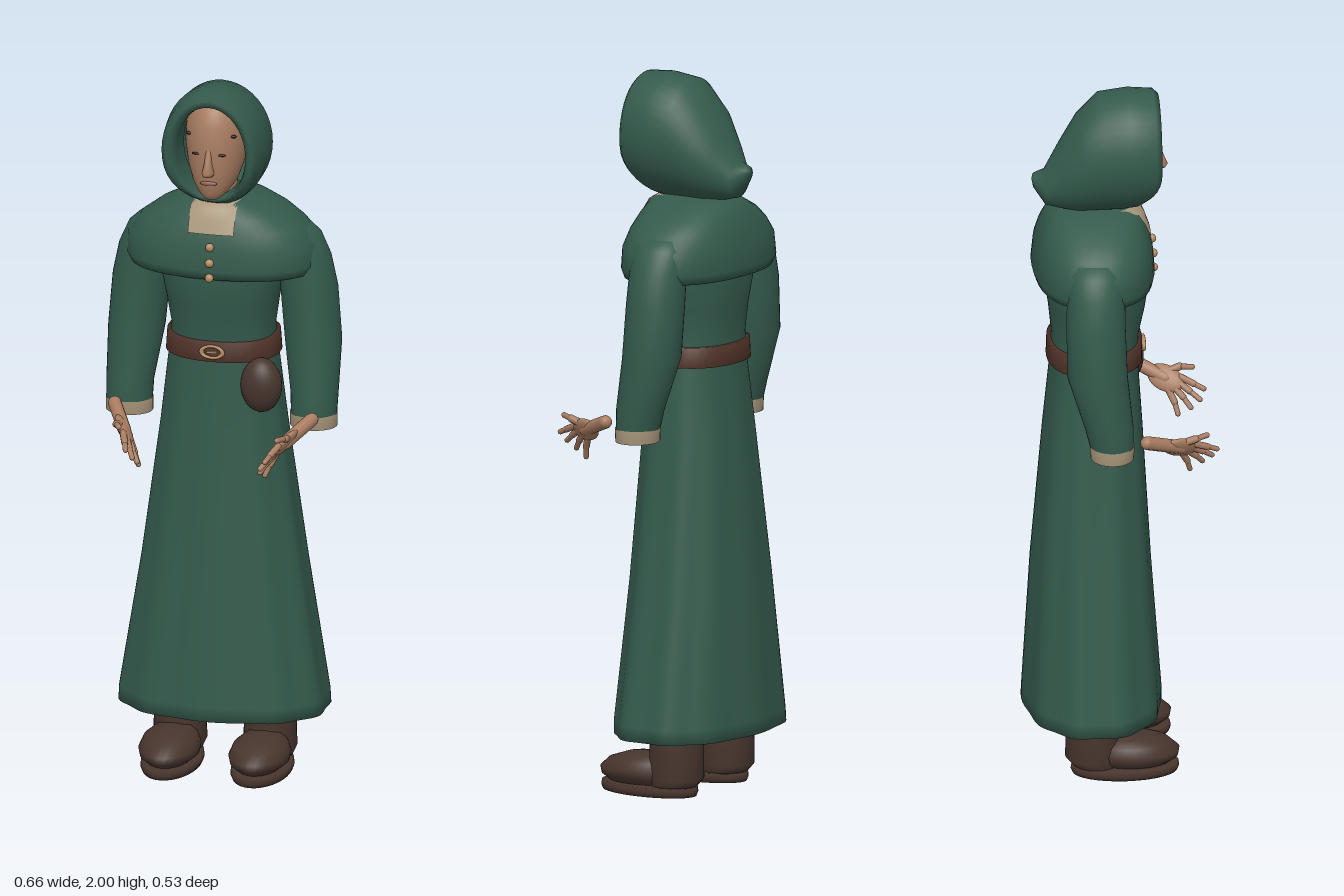
import * as THREE from 'three';

const mat = (name, color, double) => {
  const m = new THREE.MeshStandardMaterial({ color });
  m.name = name;
  if (double) m.side = THREE.DoubleSide;
  return m;
};

// Joins rows of points into a smooth skin; rows are closed loops unless open is set
function skin(rows, open = false) {
  const n = rows[0].length, pos = [], idx = [];
  rows.forEach(r => r.forEach(p => pos.push(...p)));
  for (let i = 0; i < rows.length - 1; i++)
    for (let j = 0; j < (open ? n - 1 : n); j++) {
      const k = (j + 1) % n, a = i * n + j, b = i * n + k;
      idx.push(a, b, b + n, a, b + n, a + n);
    }
  const g = new THREE.BufferGeometry();
  g.setAttribute('position', new THREE.Float32BufferAttribute(pos, 3));
  g.setIndex(idx);
  g.computeVertexNormals();
  return g;
}

// Horizontal rounded ring, starting at the front and running towards +x
function ring(y, cx, cz, rx, rz, { n = 40, p = 2, ripple = 0, from = 0, to = Math.PI * 2 } = {}) {
  const pow = v => Math.sign(v) * Math.abs(v) ** (2 / p);
  const closed = to - from > 6.28;
  return Array.from({ length: n }, (_, i) => {
    const a = from + (to - from) * i / (closed ? n : n - 1);
    const k = 1 + ripple * Math.cos(10 * a);
    return [cx + rx * k * pow(Math.sin(a)), y, cz + rz * k * pow(Math.cos(a))];
  });
}

// Ring from half width, front z and back z
const band = (y, hw, zf, zb, o) => ring(y, 0, (zf + zb) / 2, hw, (zf - zb) / 2, o);

export function createModel() {
  const model = new THREE.Group();
  model.name = 'hoodedFigure';
  const green = mat('robe green', 0x345a4c, true);
  const skinTone = mat('skin', 0xa87c61);
  const linen = mat('linen', 0xa8967a, true);
  const boot = mat('boot brown', 0x47352d);
  const leather = mat('belt leather', 0x52342a);
  const brass = mat('brass', 0xb58c62);
  const dark = mat('eye dark', 0x2c1d18);
  const lip = mat('lip', 0x8f604e);

  const add = (name, geo, m, parent = model) => {
    const mesh = new THREE.Mesh(geo, m);
    mesh.name = name;
    parent.add(mesh);
    return mesh;
  };
  const ball = (name, m, [x, y, z], [sx, sy, sz], parent) => {
    const g = new THREE.SphereGeometry(1, 24, 16).scale(sx, sy, sz);
    add(name, g, m, parent).position.set(x, y, z);
  };

  // Robe: gently pleated skirt rising into the bodice
  const robe = [
    [0.18, 0.27, 0.10, -0.245, 0.02], [0.17, 0.292, 0.118, -0.262, 0.018], [0.21, 0.29, 0.118, -0.26, 0.018],
    [0.6, 0.228, 0.09, -0.238, 0.016], [1.0, 0.174, 0.068, -0.205, 0.01], [1.2, 0.152, 0.056, -0.185, 0],
    [1.28, 0.143, 0.058, -0.182, 0], [1.36, 0.155, 0.075, -0.19, 0], [1.46, 0.175, 0.09, -0.205, 0],
    [1.56, 0.18, 0.075, -0.19, 0], [1.62, 0.12, 0.05, -0.16, 0],
  ];
  add('robe', skin(robe.map(([y, w, f, b, ripple]) => band(y, w, f, b, { n: 80, p: 2.3, ripple }))), green);

  // Shoulder cape, with the linen shirt showing at the neck
  const cape = [
    [1.475, 0.235, 0.085, -0.205], [1.455, 0.258, 0.096, -0.228], [1.48, 0.272, 0.101, -0.236],
    [1.54, 0.268, 0.097, -0.23], [1.585, 0.232, 0.086, -0.218], [1.62, 0.185, 0.074, -0.205],
    [1.65, 0.125, 0.062, -0.185], [1.665, 0.075, 0.04, -0.15], [1.668, 0.04, 0.01, -0.11],
  ];
  add('shoulderCape', skin(cape.map(r => band(...r, { n: 48, p: 2.3 }))), green);
  const patch = cape.slice(4, 8).map(([y, w, f, b]) => {
    const a = Math.asin(Math.min(1, 0.065 / w) ** 1.15);
    return band(y, w, f + 0.005, b, { n: 14, p: 2.3, from: -a, to: a });
  });
  add('shirtNeck', skin(patch, true), linen);
  [[1.55, 0.098], [1.505, 0.102], [1.462, 0.103]].forEach(([y, z]) =>
    ball('button', brass, [0, y, z], [0.012, 0.012, 0.01]));

  // Belt, buckle and pouch
  const belt = [[1.205, 0.148, 0.052, -0.18], [1.205, 0.16, 0.068, -0.196],
    [1.262, 0.156, 0.068, -0.194], [1.262, 0.14, 0.052, -0.178]];
  add('belt', skin(belt.map(r => band(...r, { p: 2.3 }))), leather);
  const buckle = add('buckle', new THREE.TorusGeometry(0.026, 0.006, 8, 28), brass);
  buckle.scale.set(1.15, 0.65, 1);
  buckle.position.set(0, 1.235, 0.072);
  add('bucklePin', new THREE.BoxGeometry(0.03, 0.006, 0.006), brass).position.set(0, 1.235, 0.073);
  ball('pouch', boot, [0.132, 1.14, 0.038], [0.058, 0.078, 0.048]);

  // Hood: folded rim swept back to a drooping point; the lower rim recedes under the chin
  const hood = [
    [0, 1.82, 0.098, 0.135, 0.3], [0.08, 1.82, 0.098, 0.137, 1], [0.106, 1.82, 0.104, 0.141, 1],
    [0.115, 1.825, 0.12, 0.156, 1], [0.1, 1.826, 0.136, 0.169, 1], [0.03, 1.827, 0.146, 0.173, 0.4],
    [-0.05, 1.822, 0.142, 0.168, 0], [-0.11, 1.79, 0.12, 0.138, 0], [-0.16, 1.752, 0.085, 0.092, 0],
    [-0.2, 1.72, 0.052, 0.05, 0], [-0.232, 1.74, 0.02, 0.02, 0], [-0.237, 1.745, 0, 0, 0],
  ];
  add('hood', skin(hood.map(([z, cy, rx, ry, k]) => Array.from({ length: 40 }, (_, i) => {
    const a = i / 40 * Math.PI * 2, y = cy + ry * Math.cos(a);
    return [rx * Math.sin(a), y, z - k * 0.06 * Math.max(0, (1.79 - y) / 0.125) ** 2];
  }))), green);

  // Head and face
  const head = new THREE.Group();
  head.name = 'head';
  model.add(head);
  const skull = [
    [1.685, 0.07, 0, 0], [1.688, 0.068, 0.022, 0.024], [1.705, 0.05, 0.042, 0.051], [1.735, 0.03, 0.062, 0.08],
    [1.78, 0.018, 0.077, 0.096], [1.84, 0.014, 0.086, 0.1], [1.9, 0.01, 0.084, 0.1],
    [1.945, 0.004, 0.066, 0.086], [1.968, 0, 0.035, 0.05], [1.975, 0, 0, 0],
  ];
  add('face', skin(skull.map(([y, z, rx, rz]) => ring(y, 0, z, rx, rz))), skinTone, head);
  const nose = [[1.764, 0.112, 0, 0], [1.766, 0.114, 0.015, 0.02], [1.776, 0.116, 0.017, 0.024],
    [1.8, 0.113, 0.011, 0.017], [1.835, 0.107, 0.008, 0.01], [1.85, 0.103, 0.004, 0.004]];
  add('nose', skin(nose.map(([y, z, rx, rz]) => ring(y, 0, z, rx, rz, { n: 16 }))), skinTone, head);
  ball('mouth', lip, [0, 1.741, 0.109], [0.024, 0.007, 0.006], head);
  add('neck', new THREE.CylinderGeometry(0.05, 0.055, 0.13, 24), skinTone, head).position.set(0, 1.66, -0.01);
  for (const s of [-1, 1]) {
    ball('eye', dark, [s * 0.035, 1.825, 0.105], [0.014, 0.0035, 0.004], head);
    ball('brow', dark, [s * 0.062, 1.874, 0.08], [0.011, 0.0045, 0.006], head);
  }

  // Tapered limb segment between two points
  const rod = (name, a, b, r, m, parent) => {
    const d = b.clone().sub(a);
    const mesh = add(name, new THREE.CapsuleGeometry(r, d.length(), 5, 10), m, parent);
    mesh.position.copy(a).addScaledVector(d, 0.5);
    mesh.quaternion.setFromUnitVectors(new THREE.Vector3(0, 1, 0), d.normalize());
  };

  for (const s of [-1, 1]) {
    const side = s > 0 ? 'left' : 'right';
    const V = (x, y, z) => new THREE.Vector3(s * x, y, z);

    // Sleeve with linen cuff
    const sleeve = [
      [1.045, 0.262, -0.038, 0.064, 0.06], [1.1, 0.262, -0.045, 0.066, 0.067], [1.25, 0.251, -0.076, 0.079, 0.083],
      [1.4, 0.238, -0.08, 0.08, 0.082], [1.49, 0.222, -0.078, 0.077, 0.08], [1.55, 0.21, -0.077, 0.062, 0.076],
      [1.575, 0.2, -0.077, 0.045, 0.062], [1.585, 0.19, -0.077, 0, 0],
    ];
    add(side + 'Sleeve', skin(sleeve.map(r => ring(r[0], s * r[1], ...r.slice(2), { n: 32 }))), green);
    const cuff = [[1.05, 0.055, 0.05], [1.012, 0.06, 0.055], [1.012, 0.066, 0.06], [1.05, 0.066, 0.062]];
    add(side + 'Cuff', skin(cuff.map(([y, rx, rz]) => ring(y, s * 0.262, -0.037, rx, rz, { n: 32 }))), linen);

    // Hand: wrist, flat palm and spread fingers
    const hand = new THREE.Group();
    hand.name = side + 'Hand';
    model.add(hand);
    const wrist = V(0.28, 1.058, 0.058), palm = V(0.228, 1.018, 0.155);
    const d = palm.clone().sub(wrist).normalize();
    const u = V(0.5, 0.8, 0.2).addScaledVector(d, -V(0.5, 0.8, 0.2).dot(d)).normalize();
    const n = u.clone().cross(d);
    const palmGeo = new THREE.SphereGeometry(1, 20, 14).scale(0.015, 0.036, 0.055);
    palmGeo.applyMatrix4(new THREE.Matrix4().makeBasis(n, u, d).setPosition(palm));
    add('palm', palmGeo, skinTone, hand);
    rod('wrist', wrist, palm, 0.019, skinTone, hand);
    const tips = [V(0.198, 0.995, 0.258), V(0.182, 0.97, 0.246), V(0.175, 0.95, 0.22), V(0.18, 0.93, 0.185)];
    tips.forEach((tip, i) => {
      const knuckle = palm.clone().addScaledVector(d, 0.036 - i * 0.005).addScaledVector(u, 0.022 - i * 0.015);
      const mid = knuckle.clone().lerp(tip, 0.5).addScaledVector(d, 0.005);
      rod('finger', knuckle, mid, 0.0095, skinTone, hand);
      rod('fingertip', mid, tip, 0.0075, skinTone, hand);
    });
    const thumbBase = palm.clone().addScaledVector(u, 0.024), thumbMid = V(0.24, 1.046, 0.195);
    rod('thumb', thumbBase, thumbMid, 0.011, skinTone, hand);
    rod('thumbTip', thumbMid, V(0.225, 1.05, 0.228), 0.008, skinTone, hand);

    // Boot: sole, rounded foot and shaft
    const cx = s * 0.128;
    const bootPart = (name, rows) =>
      add(side + name, skin(rows.map(r => ring(r[0], cx, ...r.slice(1), { n: 32 }))), boot);
    bootPart('Sole', [[0, 0.01, 0, 0], [0, 0.01, 0.078, 0.145], [0.012, 0.01, 0.083, 0.15],
      [0.026, 0.01, 0.081, 0.148], [0.03, 0.01, 0, 0]]);
    bootPart('Foot', [[0.028, 0.035, 0.06, 0.1], [0.045, 0.038, 0.08, 0.119], [0.065, 0.038, 0.084, 0.123],
      [0.09, 0.03, 0.074, 0.103], [0.108, 0.015, 0.05, 0.065], [0.115, 0, 0, 0]]);
    bootPart('BootShaft', [[0.028, -0.07, 0.065, 0.066], [0.05, -0.078, 0.074, 0.077], [0.15, -0.078, 0.073, 0.076],
      [0.4, -0.078, 0.073, 0.076], [0.41, -0.078, 0, 0]]);
  }
  return model;
}
